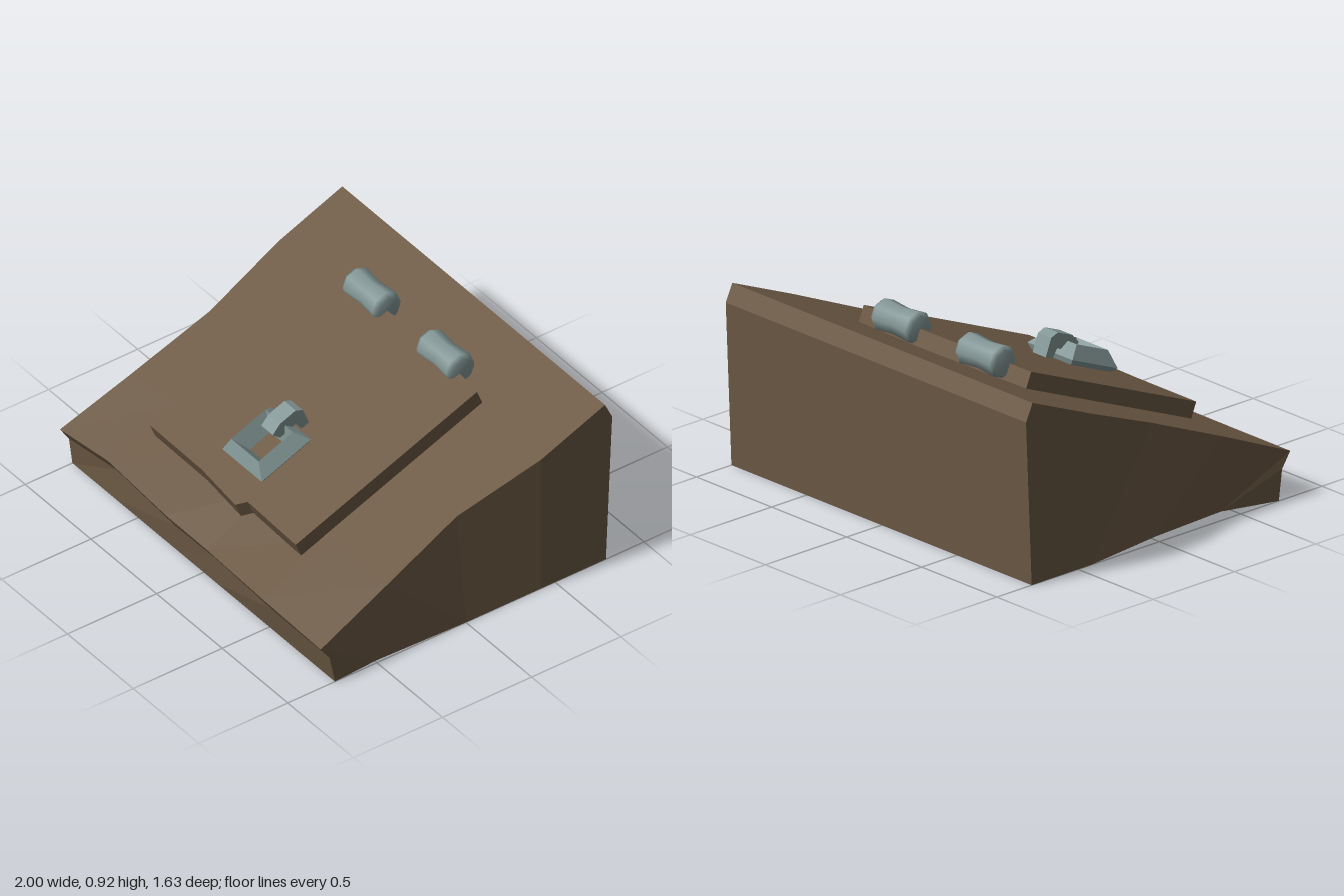
import * as THREE from 'three';

const wood = new THREE.MeshStandardMaterial({ color: 0x6b5843, flatShading: true, side: THREE.DoubleSide });
wood.name = 'brown wood';
const metal = new THREE.MeshStandardMaterial({ color: 0x839796, flatShading: true });
metal.name = 'grey metal';
const smoothMetal = metal.clone();
smoothMetal.flatShading = false;

const TILT = 0.391; // slope of the deck
const DECK_Y = 0.563; // deck height at z = 0
const deckY = (z) => DECK_Y - z * Math.tan(TILT);

function add(parent, name, geometry, material) {
  const mesh = new THREE.Mesh(geometry, material);
  mesh.name = name;
  parent.add(mesh);
  return mesh;
}

// Hollow wedge, open underneath: cross-sections along x plus two side walls
function bodyGeometry() {
  // x, front top z and y, front lower y
  const columns = [
    [-1, 0.805, 0.225, 0.15], [-0.67, 0.78, 0.24, 0.165], [-0.2, 0.8, 0.23, 0.15],
    [0.1, 0.795, 0.222, 0.15], [0.55, 0.815, 0.23, 0.152], [1, 0.815, 0.22, 0.15],
  ];
  // sides pinch inwards along the deck edge, at z = -0.42, 0 and 0.42
  const pinch = { '-1': [0, 0.05, 0.03], 1: [0, 0.07, 0.03] };
  const sections = columns.map(([x, fz, fy, ly]) => {
    const p = pinch[x] || [0, 0, 0];
    const s = Math.sign(x);
    return [
      [x, 0, -0.785], [x, 0.8, -0.82], [x, 0.885, -0.78],
      ...[-0.42, 0, 0.42].map((z, i) => [x - s * p[i], deckY(z), z]),
      [x, fy, fz], [x, ly, fz - 0.05], [x, 0, 0.735],
    ];
  });
  const out = [];
  const tri = (a, b, c, flip) => out.push(...a, ...(flip ? c : b), ...(flip ? b : c));
  for (let i = 0; i < sections.length - 1; i++) {
    const A = sections[i], B = sections[i + 1];
    for (let j = 0; j < A.length - 1; j++) {
      tri(A[j], A[j + 1], B[j]);
      tri(B[j], A[j + 1], B[j + 1]);
    }
  }
  const sideWall = (S, m, flip) => {
    const faces = [
      [S[0], S[1], S[2]], [S[0], S[2], S[3], m[0]], [m[0], S[3], S[4], m[1]],
      [m[1], S[4], S[5], m[2]], [m[2], S[5], S[6], S[7]], [m[2], S[7], S[8]],
    ];
    for (const f of faces) for (let k = 1; k < f.length - 1; k++) tri(f[0], f[k], f[k + 1], flip);
  };
  sideWall(sections[0], [[-1, 0, -0.42], [-0.97, 0.015, 0], [-0.955, 0.02, 0.42]], true);
  sideWall(sections[sections.length - 1], [[1, 0, -0.42], [1, 0, 0], [0.995, 0.01, 0.5]], false);
  const g = new THREE.BufferGeometry();
  g.setAttribute('position', new THREE.Float32BufferAttribute(out, 3));
  g.computeVertexNormals();
  return g;
}

const shapeOf = (points) => new THREE.Shape(points.map(([x, y]) => new THREE.Vector2(x, y)));

export function createModel() {
  const model = new THREE.Group();
  model.name = 'cellarHatch';
  add(model, 'wedgeBody', bodyGeometry(), wood);

  // Everything on the deck is built flat in a tilted group
  const deck = new THREE.Group();
  deck.name = 'deckParts';
  deck.position.y = DECK_Y;
  deck.rotation.x = TILT;
  model.add(deck);

  // Door panel with a chipped front edge, sunk through the deck
  const door = new THREE.ExtrudeGeometry(shapeOf([
    [-0.6, -0.612], [-0.2, -0.616], [0.09, -0.643], [0.125, -0.595], [0.505, -0.606],
    [0.515, 0.486], [0.1, 0.53], [-0.2, 0.51], [-0.6, 0.486],
  ]), { depth: 0.15, bevelEnabled: false });
  door.rotateX(-Math.PI / 2).translate(0, -0.07, 0);
  add(deck, 'door', door, wood);

  // Square bevelled frame of the handle: half width, height
  const frame = new THREE.LatheGeometry(
    [[0.122, 0.067], [0.15, 0.105], [0.104, 0.173], [0.06, 0.075]]
      .map(([r, y]) => new THREE.Vector2(r * Math.SQRT2, y)), 4, Math.PI / 4);
  add(deck, 'handleFrame', frame, metal).position.set(-0.04, 0, 0.338);

  // Staple over the back bar of the frame
  const staple = new THREE.ExtrudeGeometry(shapeOf([
    [-0.306, 0.176], [-0.252, 0.203], [-0.155, 0.202], [-0.124, 0.172], [-0.125, 0.075],
    [-0.17, 0.075], [-0.18, 0.13], [-0.28, 0.13],
  ]), { depth: 0.088, bevelEnabled: false });
  staple.rotateY(Math.PI / 2).translate(-0.085, 0, 0);
  add(deck, 'handleStaple', staple, metal);

  // Two waisted hinge barrels
  const barrel = new THREE.LatheGeometry(
    [[0, -0.134], [0.062, -0.134], [0.08, -0.11], [0.07, 0], [0.08, 0.11], [0.062, 0.134], [0, 0.134]]
      .map(([r, y]) => new THREE.Vector2(r, y)), 8);
  barrel.rotateZ(Math.PI / 2);
  for (const [name, x] of [['rightHinge', -0.332], ['leftHinge', 0.23]]) {
    add(model, name, barrel, smoothMetal).position.set(x, 0.835, -0.452);
  }
  return model;
}
